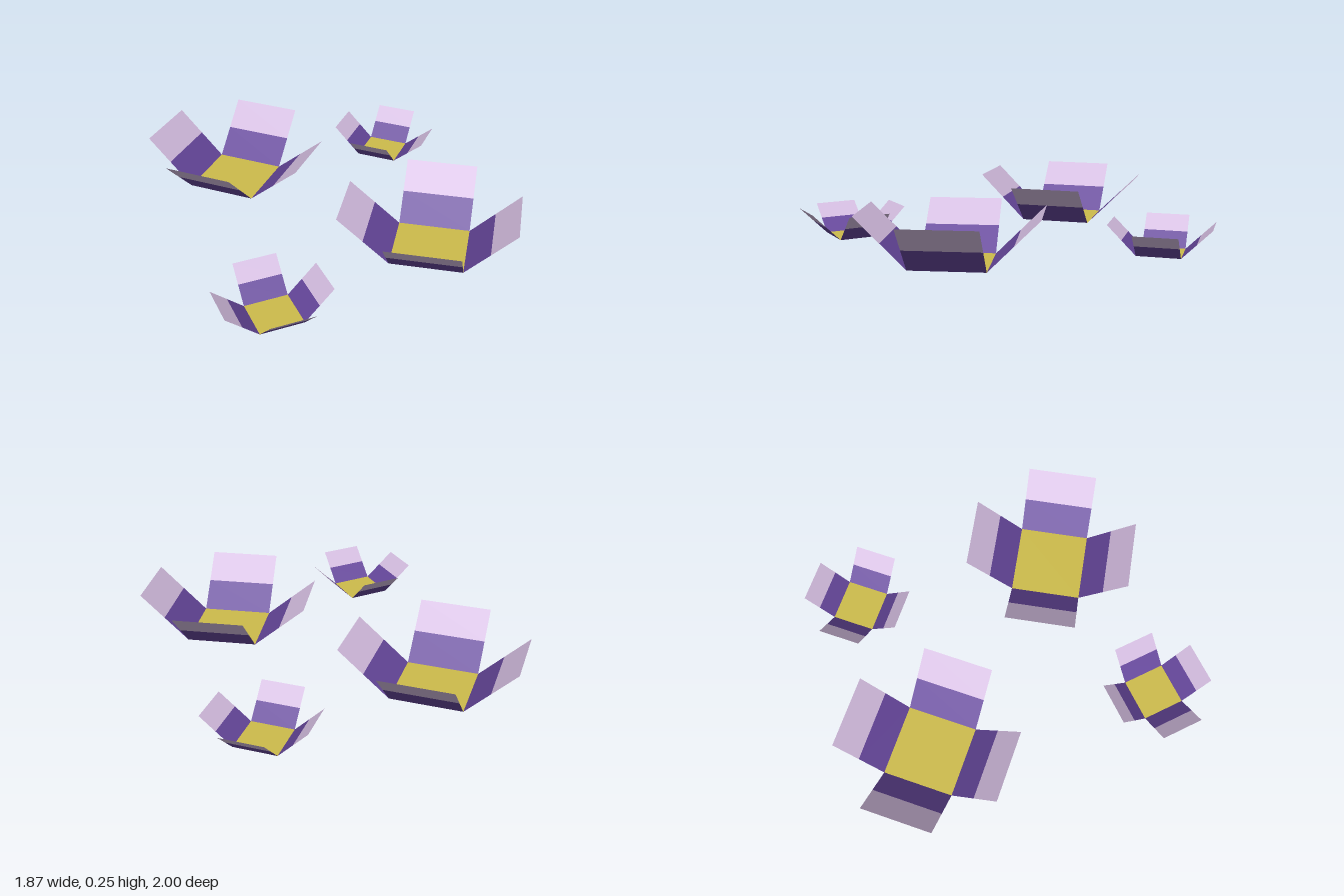
import * as THREE from 'three';

const mat = (name, color) => new THREE.MeshStandardMaterial({ name, color, side: THREE.DoubleSide });

export function createModel() {
  const yellow = mat('yellow', 0xcdbc4b);
  const purple = mat('purple', 0x65469a);
  const lilac = mat('lilac', 0xd2bbde);

  const SIDE = 0.337, LENGTH = 0.318;

  // Flat sheets facing up; petal bands run outward along +x
  const heartGeo = new THREE.PlaneGeometry(SIDE, SIDE).rotateX(-Math.PI / 2);
  const band = (from, to) => new THREE.PlaneGeometry(to - from, SIDE)
    .rotateX(-Math.PI / 2).translate((from + to) / 2, 0, 0);
  const innerGeo = band(0, LENGTH / 2);
  const outerGeo = band(LENGTH / 2, LENGTH);

  const mesh = (name, geo, material) => {
    const m = new THREE.Mesh(geo, material);
    m.name = name;
    return m;
  };

  // Square flower: four petals hinged on the edges, the first opened wider
  function flower(x, y, z, degrees, scale) {
    const g = new THREE.Group();
    g.name = 'flower';
    g.add(mesh('flowerCentre', heartGeo, yellow));
    for (let i = 0; i < 4; i++) {
      const turn = new THREE.Group();
      turn.name = 'petal';
      turn.rotation.y = i * Math.PI / 2;
      const hinge = new THREE.Group();
      hinge.name = 'petalHinge';
      hinge.position.x = SIDE / 2;
      hinge.rotation.z = THREE.MathUtils.degToRad(i === 0 ? 40 : 45);
      hinge.add(mesh('petalBase', innerGeo, purple), mesh('petalTip', outerGeo, lilac));
      turn.add(hinge);
      g.add(turn);
    }
    g.position.set(x, y, z);
    g.rotation.y = THREE.MathUtils.degToRad(degrees);
    g.scale.setScalar(scale);
    return g;
  }

  const model = new THREE.Group();
  model.name = 'flowerPatch';
  model.add(
    flower(0.54, 0.025, 0.15, 180, 1),
    flower(-0.52, 0.025, -0.272, -10, 1),
    flower(0.17, 0, -0.757, -10, 0.6),
    flower(-0.053, 0, 0.745, 215, 0.6),
  );
  return model;
}
